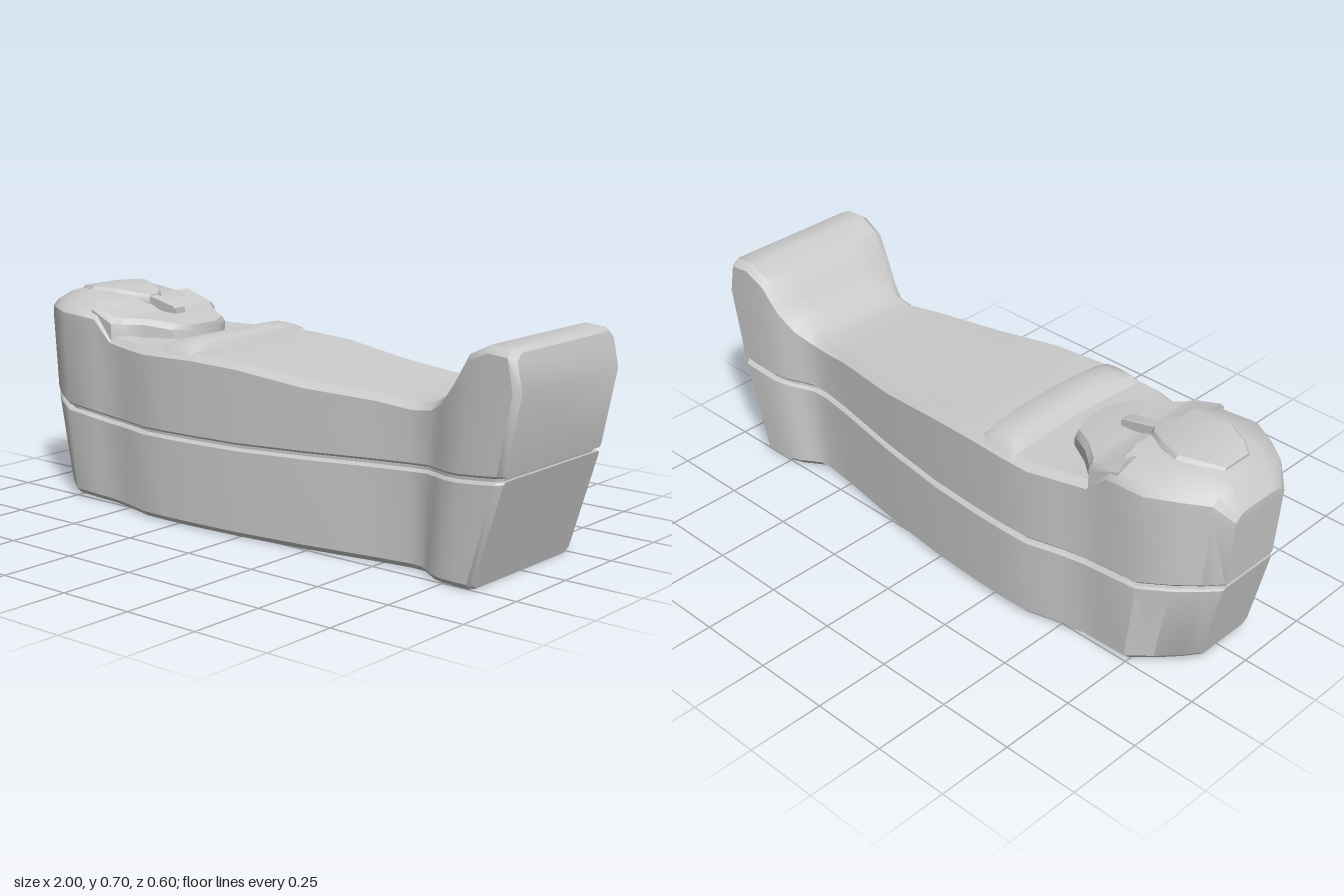
import * as THREE from 'three';
import { toCreasedNormals } from 'three/addons/utils/BufferGeometryUtils.js';

const material = new THREE.MeshStandardMaterial({ color: 0xcccccc });

// Piecewise-linear lookup in a list of [key, value]
function lookup(table, k) {
  if (k <= table[0][0]) return table[0][1];
  for (let i = 1; i < table.length; i++) {
    const [a, va] = table[i - 1], [b, vb] = table[i];
    if (k <= b) return va + (vb - va) * (k - a) / (b - a);
  }
  return table[table.length - 1][1];
}

// Slanted ends: how far head and foot reach at each height
const headReach = [[0, 0.905], [0.32, 0.98], [0.56, 1]];
const footReach = [[0, 0.85], [0.33, 0.95], [0.58, 1], [0.7, 0.975]];
function slant(x, y) {
  if (Math.abs(x) < 0.6) return x;
  const reach = lookup(x < 0 ? headReach : footReach, y);
  return Math.sign(x) * (0.6 + (Math.abs(x) - 0.6) * (reach - 0.6) / 0.4);
}

// Lofts mirrored cross-sections along x. Each section is { x, half },
// half listing [z, y] from the top to the bottom of the +z side.
function loft(name, sections, warp = (x) => x) {
  const pos = [], idx = [];
  const n = sections[0].half.length * 2;
  for (const { x, half } of sections) {
    const ring = [...half, ...half.map(([z, y]) => [-z, y]).reverse()];
    for (const [z, y] of ring) pos.push(warp(x, y, z), y, z);
  }
  const last = (sections.length - 1) * n;
  for (let s = 0; s < last; s += n) {
    for (let j = 0; j < n; j++) {
      const a = s + j, b = s + (j + 1) % n;
      idx.push(a, b, b + n, a, b + n, a + n);
    }
  }
  for (let j = 0; j < n / 2 - 1; j++) {
    const q = [j, j + 1, n - 2 - j, n - 1 - j];
    idx.push(q[0], q[2], q[1], q[0], q[3], q[2]);
    const [a, b, c, d] = q.map((v) => v + last);
    idx.push(a, b, c, a, c, d);
  }
  const geo = new THREE.BufferGeometry();
  geo.setAttribute('position', new THREE.Float32BufferAttribute(pos, 3));
  geo.setIndex(idx);
  const mesh = new THREE.Mesh(toCreasedNormals(geo, 0.6), material);
  mesh.name = name;
  return mesh;
}

// Stations: x, half width, edge height, centre height
const stations = [
  [-1, 0.11, 0.575, 0.58],
  [-0.95, 0.155, 0.63, 0.648],
  [-0.88, 0.205, 0.635, 0.668],
  [-0.79, 0.255, 0.635, 0.675],
  [-0.65, 0.253, 0.625, 0.66],
  [-0.58, 0.252, 0.556, 0.565],
  [-0.5, 0.268, 0.55, 0.552],
  [-0.39, 0.298, 0.548, 0.55],
  [-0.29, 0.3, 0.55, 0.55],
  [-0.18, 0.297, 0.552, 0.552],
  [0, 0.286, 0.545, 0.545],
  [0.24, 0.258, 0.517, 0.517],
  [0.48, 0.218, 0.505, 0.505],
  [0.6, 0.202, 0.492, 0.492],
  [0.67, 0.205, 0.5, 0.5],
  [0.72, 0.225, 0.528, 0.528],
  [0.77, 0.247, 0.585, 0.585],
  [0.83, 0.26, 0.665, 0.665],
  [0.91, 0.264, 0.7, 0.7],
  [0.98, 0.265, 0.695, 0.695],
  [1, 0.248, 0.685, 0.685],
];
const seamHeight = [[-1, 0.322], [-0.58, 0.282], [0, 0.286], [0.6, 0.305], [0.85, 0.318], [1, 0.332]];
const bottomHeight = [[-1, 0.03], [-0.8, 0.008], [-0.6, 0]];

// Flat raised plate from rows of [x, half width, top height]
function plate(name, rows, bottom, bevel) {
  return loft(name, rows.map(([x, w, y]) => ({
    x,
    half: [[Math.max(w - bevel, w * 0.4), y], [w, Math.max(y - bevel, bottom + 0.004)], [w, bottom]],
  })));
}

export function createModel() {
  const group = new THREE.Group();
  group.name = 'coffin';

  // Lower box
  group.add(loft('base', stations.map(([x, w]) => {
    const top = lookup(seamHeight, x) - 0.006, low = lookup(bottomHeight, x);
    return { x, half: [[w - 0.007, top], [w, top - 0.007], [w, low + 0.018], [w - 0.018, low]] };
  }), slant));

  // Recessed strip between base and lid
  group.add(loft('seam', stations.map(([x, w]) => {
    const y = lookup(seamHeight, x);
    return { x: x * 0.986, half: [[w - 0.018, y + 0.02], [w - 0.018, y - 0.02]] };
  }), slant));

  // Lid with domed head and upturned foot
  group.add(loft('lid', stations.map(([x, w, edge, centre]) => {
    const low = lookup(seamHeight, x) + 0.006;
    return {
      x,
      half: [
        [w * 0.5, centre], [w - 0.024, edge], [w, edge - 0.02],
        [w, Math.min(0.58, edge - 0.03)], [w, low + 0.007], [w - 0.007, low],
      ],
    };
  }), slant));

  // Headdress lappet stepping down onto the chest
  group.add(plate('headdress', [
    [-0.68, 0.235, 0.652], [-0.58, 0.245, 0.615], [-0.56, 0.22, 0.612],
    [-0.5, 0.17, 0.61], [-0.42, 0.125, 0.597], [-0.39, 0.065, 0.592],
  ], 0.53, 0.018));

  // Face and beard
  group.add(plate('face', [
    [-0.91, 0.06, 0.668], [-0.87, 0.09, 0.679], [-0.79, 0.127, 0.686],
    [-0.72, 0.1, 0.681], [-0.65, 0.06, 0.669], [-0.625, 0.025, 0.662],
  ], 0.63, 0.012));
  group.add(plate('beard', [[-0.66, 0.015, 0.666], [-0.52, 0.021, 0.638], [-0.505, 0.021, 0.63]], 0.59, 0.004));

  // Folded arms: a gently bowed band across the chest
  const armRows = [[-0.325, 0.0], [-0.3, 0.028], [-0.27, 0.036], [-0.225, 0.036], [-0.195, 0.026], [-0.18, 0.0]];
  group.add(loft('arms', armRows.map(([x, rise]) => ({
    x,
    half: [[0.06, 0.55 + rise], [0.14, 0.55 + rise], [0.22, 0.55 + rise * 0.9],
      [0.265, 0.55 + rise * 0.5], [0.292, 0.535], [0.28, 0.525]],
  })), (x, y, z) => x + 0.008 - 0.018 * (z / 0.28) ** 2));

  return group;
}
